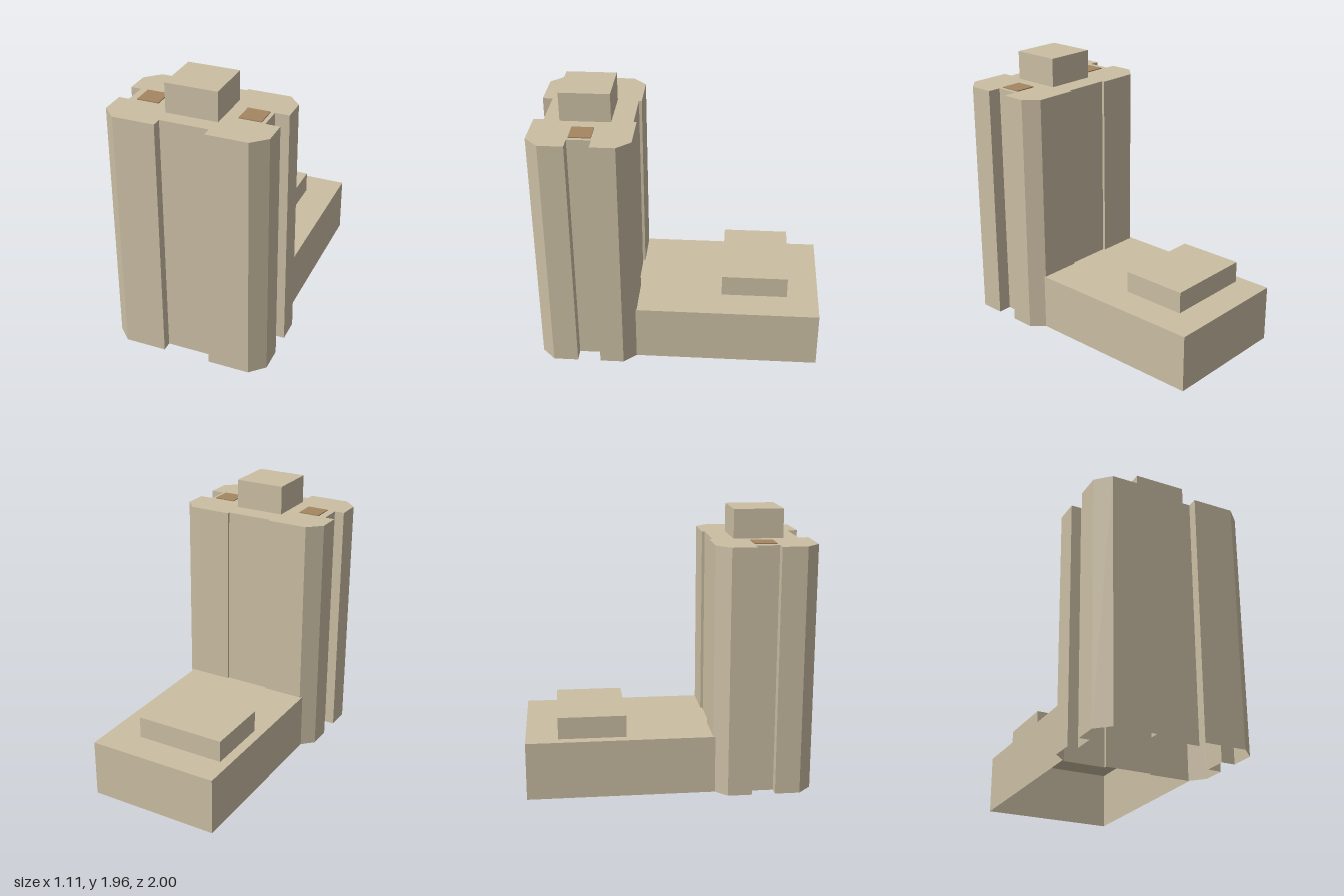
import * as THREE from 'three';

// Walls around an [x, z] outline (counterclockwise from above) plus a roof; open below.
function openPrism(outline, y0, y1, closed = true) {
  const pos = [];
  const n = outline.length;
  for (let i = 0; i < (closed ? n : n - 1); i++) {
    const [ax, az] = outline[i];
    const [bx, bz] = outline[(i + 1) % n];
    pos.push(ax, y0, az, bx, y0, bz, bx, y1, bz);
    pos.push(ax, y0, az, bx, y1, bz, ax, y1, az);
  }
  const flat = outline.map(([x, z]) => new THREE.Vector2(x, -z));
  for (const tri of THREE.ShapeUtils.triangulateShape(flat, [])) {
    for (const k of tri) pos.push(outline[k][0], y1, outline[k][1]);
  }
  const geo = new THREE.BufferGeometry();
  geo.setAttribute('position', new THREE.Float32BufferAttribute(pos, 3));
  geo.computeVertexNormals();
  return geo;
}

// Rectangle outline; the first point starts the right wall so the last edge is the front.
const rect = (x0, x1, z0, z1) => [[x1, z1], [x1, z0], [x0, z0], [x0, z1]];

export function createModel() {
  const model = new THREE.Group();
  const stone = new THREE.MeshStandardMaterial({ color: 0xcabda3, side: THREE.DoubleSide });
  stone.name = 'sandstone';
  const brown = new THREE.MeshStandardMaterial({ color: 0xa58660, side: THREE.DoubleSide });
  brown.name = 'brown';

  const add = (name, geo, material) => {
    const mesh = new THREE.Mesh(geo, material);
    mesh.name = name;
    model.add(mesh);
  };

  // Tower: chamfered corners with a recess in every side
  const towerPlan = [
    [-0.46, 1], [-0.17, 1], [-0.17, 0.93], [0.165, 0.93], [0.165, 1], [0.455, 1],
    [0.553, 0.905], [0.553, 0.73], [0.455, 0.73], [0.455, 0.565], [0.553, 0.565], [0.553, 0.395],
    [0.465, 0.3], [0.165, 0.3], [0.165, 0.32], [-0.17, 0.32], [-0.17, 0.3], [-0.46, 0.3],
    [-0.556, 0.395], [-0.556, 0.565], [-0.485, 0.565], [-0.485, 0.73], [-0.556, 0.73], [-0.556, 0.905],
  ];
  add('tower', openPrism(towerPlan, 0, 1.75), stone);
  add('towerPenthouse', openPrism(rect(-0.18, 0.18, 0.47, 0.82), 1.75, 1.955), stone);

  // Thin roof panels either side of the penthouse
  add('leftRoofPanel', openPrism(rect(0.275, 0.428, 0.57, 0.722), 1.75, 1.757), brown);
  add('rightRoofPanel', openPrism(rect(-0.43, -0.278, 0.57, 0.722), 1.75, 1.757), brown);

  // Low rear annex, joined to the tower at its front
  add('annex', openPrism(rect(-0.475, 0.472, -1, 0.315), 0, 0.41, false), stone);
  add('annexRoofBlock', openPrism(rect(-0.405, 0.24, -0.775, -0.3), 0.41, 0.565), stone);

  return model;
}
